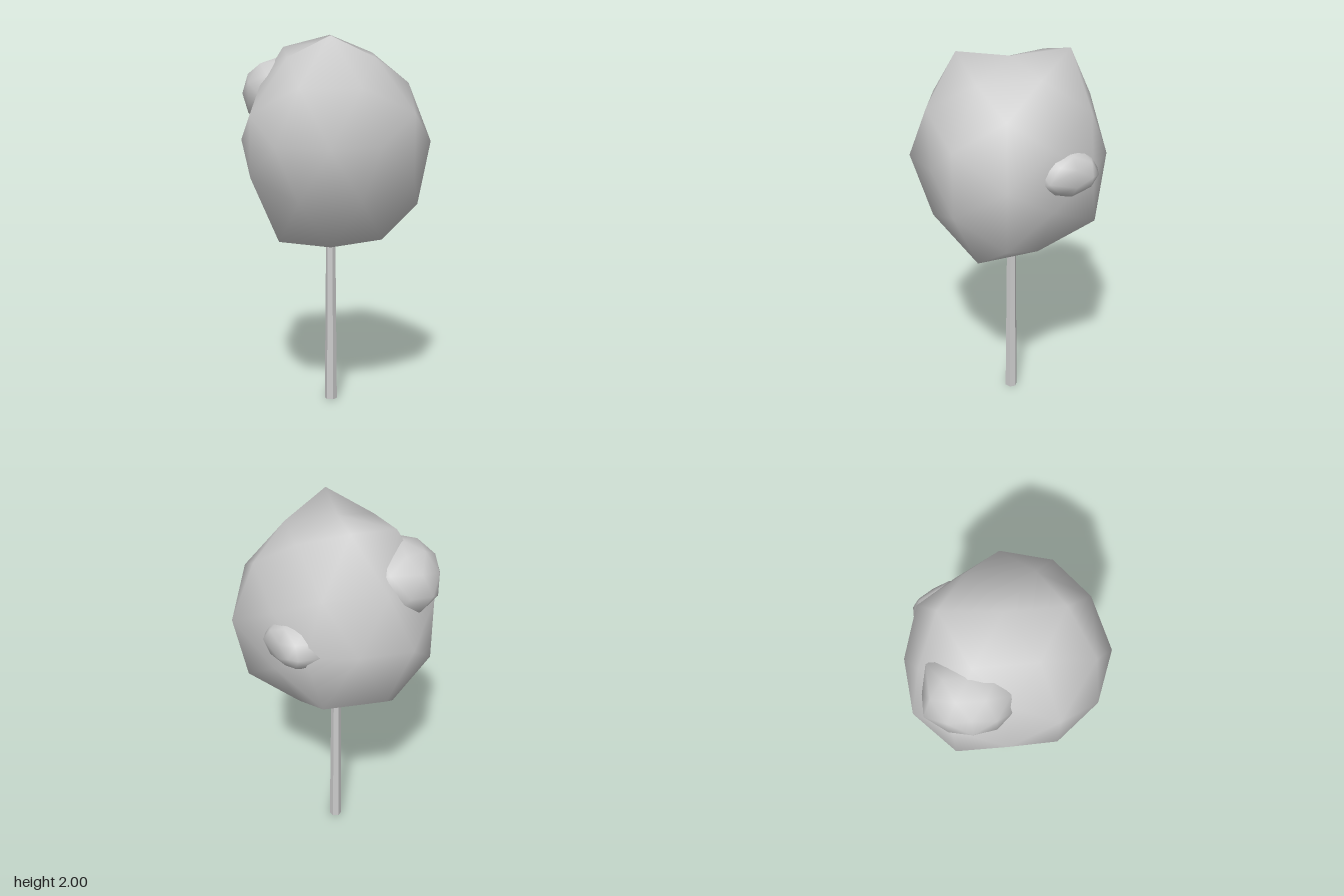
import * as THREE from 'three';
import { mergeVertices } from 'three/addons/utils/BufferGeometryUtils.js';

const grey = new THREE.MeshStandardMaterial({ color: 0xcccccc });

// Smooth low-poly clump; each pull moves the nearest vertex to a given point
function clump(name, center, radii, pulls) {
  let geo = new THREE.IcosahedronGeometry(1, 1).rotateX(Math.PI / 2);
  geo.deleteAttribute('uv');
  geo.deleteAttribute('normal');
  geo = mergeVertices(geo, 1e-3);
  geo.scale(...radii).translate(...center);
  const pos = geo.attributes.position;
  const rest = pos.clone();
  const v = new THREE.Vector3();
  for (const pull of pulls) {
    const target = new THREE.Vector3(...pull);
    let best = 0, bestDist = Infinity;
    for (let i = 0; i < rest.count; i++) {
      const d = v.fromBufferAttribute(rest, i).distanceTo(target);
      if (d < bestDist) { bestDist = d; best = i; }
    }
    pos.setXYZ(best, ...pull);
  }
  geo.computeVertexNormals();
  const mesh = new THREE.Mesh(geo, grey);
  mesh.name = name;
  return mesh;
}

export function createModel() {
  const tree = new THREE.Group();
  tree.name = 'tree';

  // Slim tapered trunk
  const trunk = new THREE.Mesh(
    new THREE.CylinderGeometry(0.026, 0.034, 0.875, 6, 1, false, 0.37),
    new THREE.MeshStandardMaterial({ color: 0xcccccc, flatShading: true })
  );
  trunk.name = 'trunk';
  trunk.position.set(-0.028, 0.4375, -0.022);
  tree.add(trunk);

  // Uneven crown
  const crownPulls = [
    // peaks and dip on top
    [-0.03, 1.975, 0.26], [-0.03, 2.0, -0.315], [-0.03, 1.955, -0.02],
    [0.2, 1.87, 0.14], [0.2, 1.9, -0.18],
    [-0.25, 1.87, 0.13], [-0.285, 1.93, -0.18],
    // upper shoulders
    [0.385, 1.74, -0.02], [-0.4, 1.73, -0.02],
    // waist
    [0.508, 1.43, -0.025], [-0.505, 1.44, -0.025],
    [-0.03, 1.42, 0.515], [-0.03, 1.45, -0.515],
    [-0.305, 1.43, 0.42], [-0.31, 1.43, -0.48],
    [0.225, 1.43, 0.37], [0.21, 1.43, -0.44],
    // lower shoulders
    [0.44, 1.09, -0.02], [-0.405, 1.175, -0.02],
    // underside
    [-0.03, 0.885, -0.02], [-0.03, 0.905, 0.255], [-0.03, 1.015, -0.24],
    [0.24, 0.925, 0.14], [0.2, 0.985, -0.17],
    [-0.3, 0.915, 0.15], [-0.3, 0.925, -0.19],
  ];
  for (const s of [1, -1]) {
    crownPulls.push(
      [-0.03 + 0.16 * s, 1.72, 0.4], [-0.03 + 0.16 * s, 1.72, -0.425],
      [-0.03 + 0.16 * s, 1.15, 0.38], [-0.03 + 0.16 * s, 1.135, -0.46],
      [0.33, 1.42 + 0.16 * s, -0.245], [-0.44, 1.42 + 0.16 * s, 0.22]
    );
  }
  tree.add(clump('crown', [-0.03, 1.42, -0.02], [0.53, 0.55, 0.53], crownPulls));

  // Small side clumps
  tree.add(clump('upperClump', [-0.3, 1.68, -0.19], [0.21, 0.2, 0.225], [
    [-0.2, 1.8, -0.385], [-0.41, 1.68, -0.41], [-0.3, 1.68, -0.415],
  ]));
  tree.add(clump('backClump', [0.2, 1.44, -0.275], [0.18, 0.13, 0.19], [
    [0.25, 1.44, -0.465], [0.14, 1.44, -0.46], [0.38, 1.43, -0.225],
    [0.325, 1.485, -0.36], [0.325, 1.395, -0.36],
  ]));
  return tree;
}
